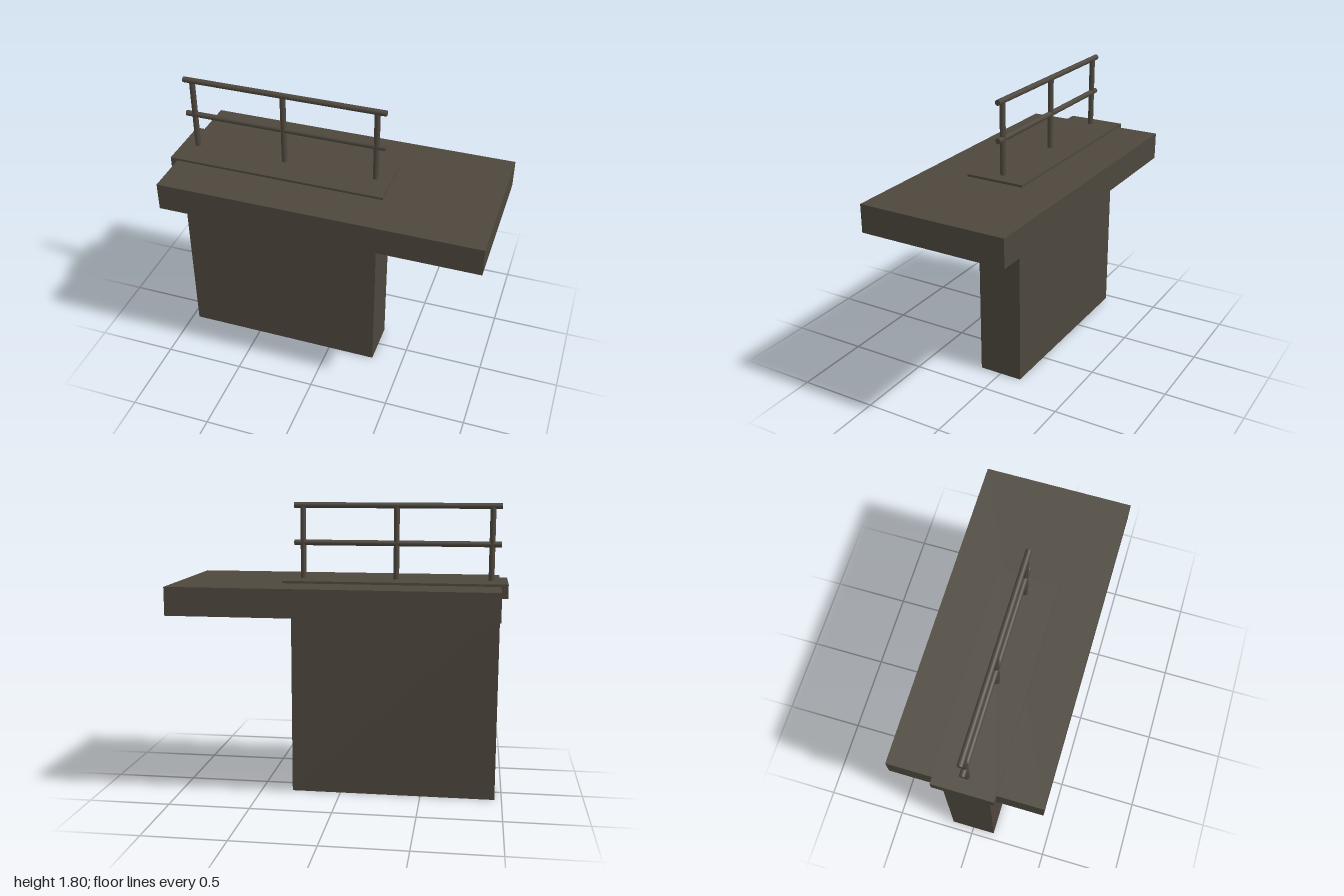
import * as THREE from 'three';

export function createModel() {
  const model = new THREE.Group();
  const concrete = new THREE.MeshStandardMaterial({ color: 0x4d473d });
  concrete.name = 'dark concrete';

  const add = (name, geometry, x, y, z = 0) => {
    const mesh = new THREE.Mesh(geometry, concrete);
    mesh.name = name;
    mesh.position.set(x, y, z);
    model.add(mesh);
    return mesh;
  };
  // Box given by its extents in x and y and its full depth
  const block = (name, x0, x1, y0, y1, depth) =>
    add(name, new THREE.BoxGeometry(x1 - x0, y1 - y0, depth), (x0 + x1) / 2, (y0 + y1) / 2);

  // Supporting wall, overhanging slab and the base plate of the railing
  block('wall', -0.957, 0.305, 0, 1.152, 0.285);
  block('slab', -0.957, 1, 1.152, 1.323, 0.918);
  block('basePlate', -1, 0.348, 1.254, 1.337, 0.37);

  // Railing: three posts and two horizontal rails
  const radius = 0.0175, top = 1.784;
  for (const x of [-0.902, -0.326, 0.25]) {
    const height = top - 1.33;
    add('railingPost', new THREE.CylinderGeometry(radius, radius, height, 16), x, 1.33 + height / 2);
  }
  for (const [name, y] of [['topRail', top], ['middleRail', 1.556]]) {
    const rail = add(name, new THREE.CylinderGeometry(radius, radius, 1.262, 16), -0.326, y);
    rail.rotation.z = Math.PI / 2;
  }
  return model;
}
